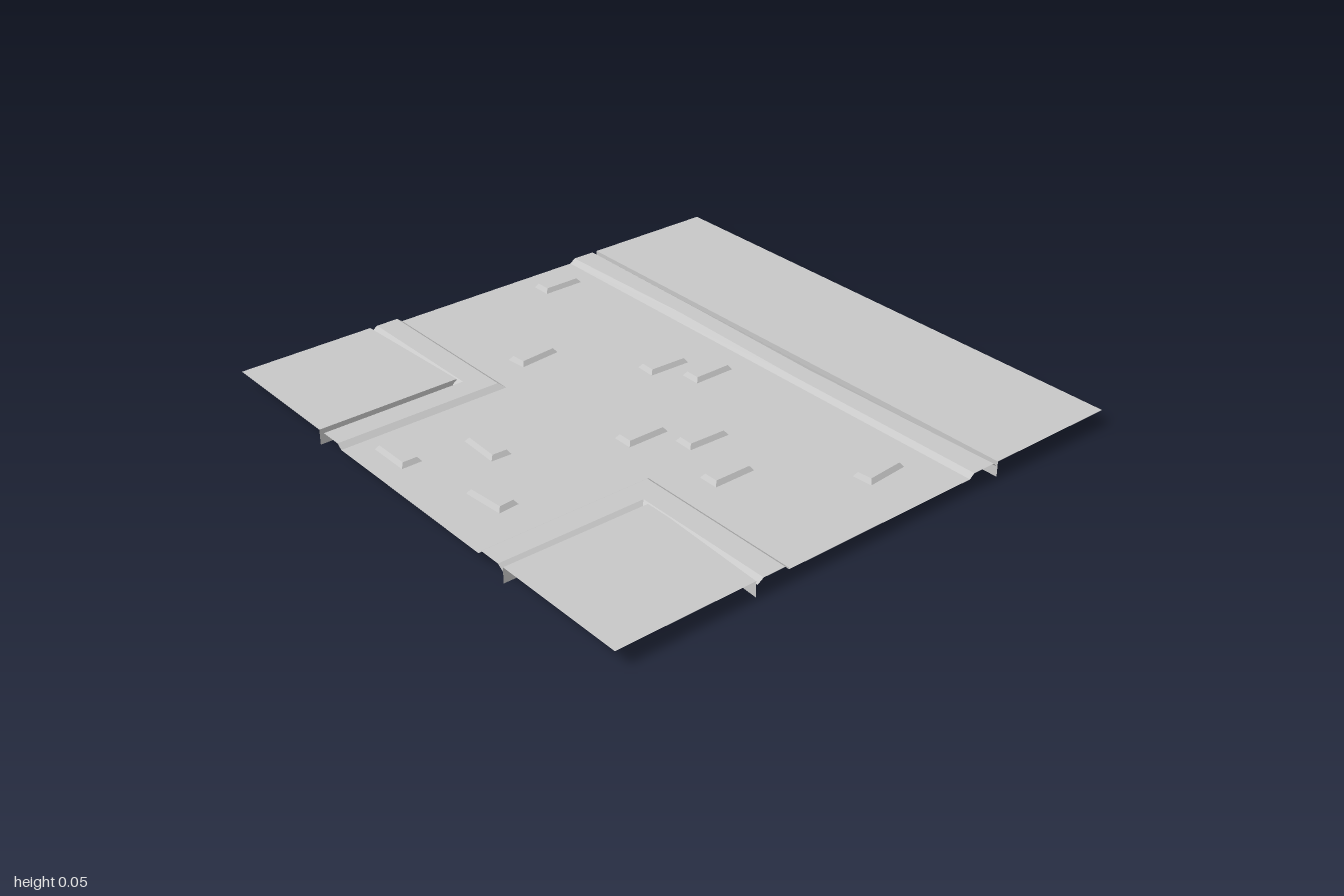
import * as THREE from 'three';

const ROAD_Y = 0.04, TOP_Y = 0.055;
const concrete = new THREE.MeshStandardMaterial({ color: 0xc8c8c8, side: THREE.DoubleSide, flatShading: true });
concrete.name = 'concrete grey';

function addMesh(parent, name, geometry) {
  const mesh = new THREE.Mesh(geometry, concrete);
  mesh.name = name;
  parent.add(mesh);
  return mesh;
}

// Flat sheet facing up, outlined by [x, z] corners
function sheet(corners, y) {
  const shape = new THREE.Shape(corners.map(([x, z]) => new THREE.Vector2(x, -z)));
  return new THREE.ShapeGeometry(shape).rotateX(-Math.PI / 2).translate(0, y, 0);
}

// Open surface joining rows of [x, y, z] points
function loft(rows, flip) {
  const pos = [];
  for (let r = 0; r < rows.length - 1; r++) {
    for (let i = 0; i < rows[r].length - 1; i++) {
      const a = rows[r][i], b = rows[r][i + 1], c = rows[r + 1][i + 1], d = rows[r + 1][i];
      for (const p of flip ? [a, c, b, a, d, c] : [a, b, c, a, c, d]) pos.push(...p);
    }
  }
  const g = new THREE.BufferGeometry();
  g.setAttribute('position', new THREE.Float32BufferAttribute(pos, 3));
  g.computeVertexNormals();
  return g;
}

// Pavement sheet with a skirt along its kerb edge
function addPavement(parent, name, edge, outerCorners, flip) {
  const group = new THREE.Group();
  group.name = name;
  addMesh(group, 'pavementTop', sheet([...edge, ...outerCorners], TOP_Y));
  const row = y => edge.map(([x, z]) => [x, y, z]);
  addMesh(group, 'pavementSkirt', loft([row(TOP_Y), row(0)], flip));
  parent.add(group);
}

export function createModel() {
  const model = new THREE.Group();
  model.name = 'roadJunction';
  const r = 0.375;

  // T-shaped road surface
  addMesh(model, 'roadSurface', sheet(
    [[-1, -r], [-1, r], [-r, r], [-r, 1], [r, 1], [r, r], [1, r], [1, -r]], ROAD_Y));

  // Straight kerb along the back, with slightly worn edges: x, front edge, back edge
  const worn = [[-1, -0.395, -0.48], [-0.4, -0.408, -0.474], [0.2, -0.393, -0.463], [1, -0.393, -0.48]];
  addMesh(model, 'backKerb', loft([
    worn.map(([x]) => [x, ROAD_Y, -0.375]),
    worn.map(([x, f]) => [x, TOP_Y, f]),
    worn.map(([x, , b]) => [x, TOP_Y, b]),
    worn.map(([x]) => [x, ROAD_Y, -0.495]),
  ]));
  addPavement(model, 'backPavement', [[-1, -0.5], [1, -0.5]], [[1, -1], [-1, -1]], true);

  // Mitred corner kerbs and their pavements
  for (const s of [1, -1]) {
    const side = s > 0 ? 'left' : 'right';
    const profile = [[0.37, ROAD_Y], [0.39, TOP_Y], [0.472, TOP_Y], [0.495, ROAD_Y]];
    const rows = profile.map(([o, y]) => [[s, y, o], [s * o, y, o], [s * o, y, 1]]);
    addMesh(model, side + 'CornerKerb', loft(rows, s < 0));
    const edge = s > 0
      ? [[1, 0.5], [0.6, 0.478], [0.5, 0.478], [0.496, 1]]
      : [[-1, 0.5], [-0.5, 0.478], [-0.5, 1]];
    addPavement(model, side + 'CornerPavement', edge.map(([x, z]) => [x, z]), [[s, 1]], s < 0);
  }

  // Bevelled paving stones: x, z, turn
  const h = Math.PI / 2;
  const stones = [
    [-0.885, -0.23, 0], [-0.16, -0.13, -0.04], [-0.025, -0.21, 0], [0.79, -0.195, 0.08],
    [-0.492, 0.17, 0.09], [0.155, 0.222, 0], [0.292, 0.087, -0.03], [0.505, 0.17, 0],
    [-0.09, 0.64, h - 0.04], [0.163, 0.802, h + 0.08], [-0.23, 0.88, h],
  ];
  const stone = new THREE.BoxGeometry(0.074, TOP_Y - ROAD_Y, 0.155);
  const p = stone.attributes.position;
  for (let i = 0; i < p.count; i++) {
    if (p.getY(i) > 0) {
      p.setX(i, p.getX(i) - Math.sign(p.getX(i)) * 0.011);
      p.setZ(i, p.getZ(i) - Math.sign(p.getZ(i)) * 0.011);
    }
  }
  stone.computeVertexNormals();
  for (const [x, z, turn] of stones) {
    const m = addMesh(model, 'pavingStone', stone);
    m.position.set(x, (ROAD_Y + TOP_Y) / 2, z);
    m.rotation.y = turn;
  }
  return model;
}
